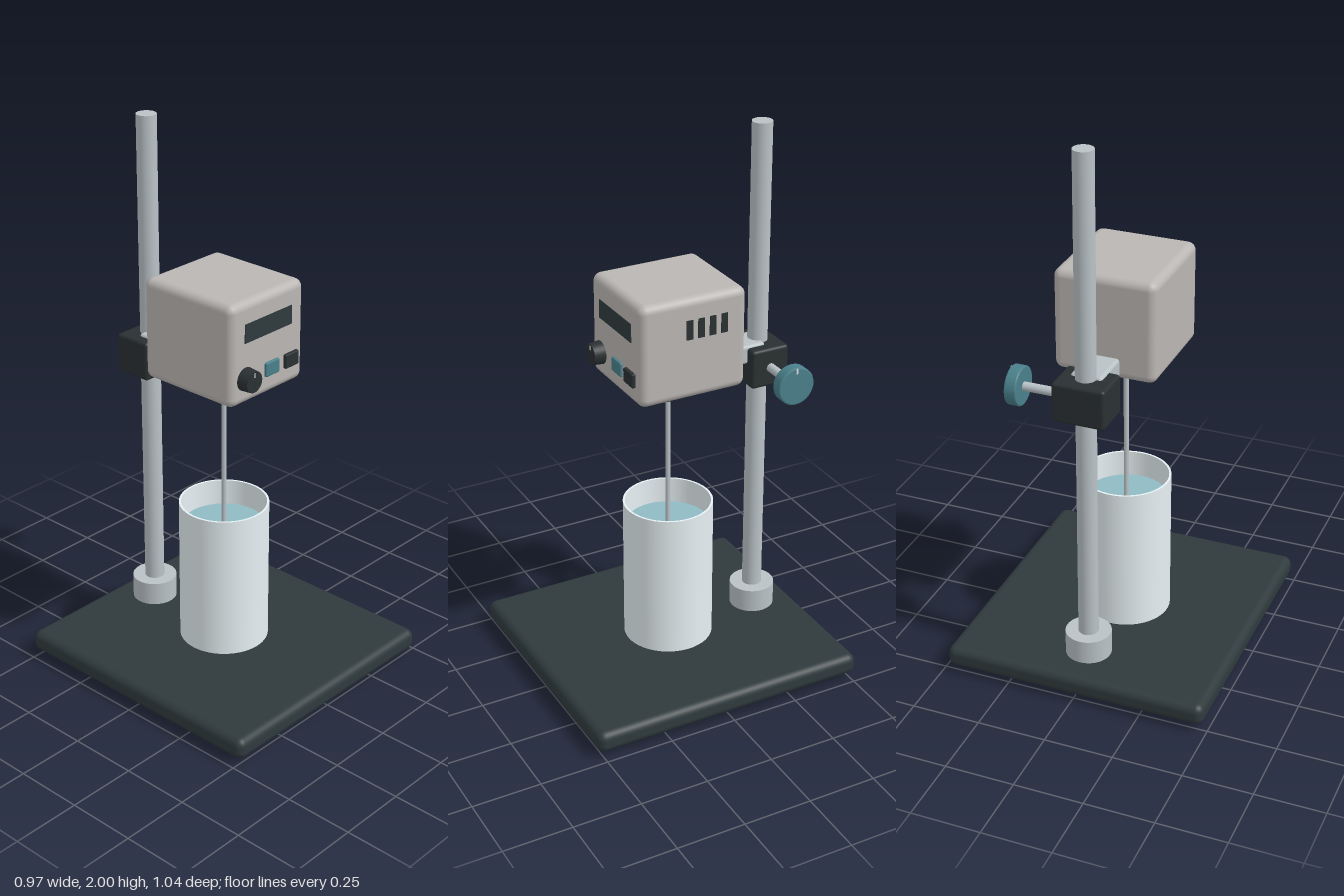
import * as THREE from 'three';
import { RoundedBoxGeometry } from 'three/addons/geometries/RoundedBoxGeometry.js';

const mat = (color, side = THREE.FrontSide) => {
  const m = new THREE.MeshStandardMaterial({ side });
  m.color.set(color);
  return m;
};

export function createModel() {
  const model = new THREE.Group();
  model.name = 'overheadStirrer';
  const dark = mat(0x2f3a3d), black = mat(0x2a3032), shell = mat(0xbab6b3);
  const steel = mat(0xb9c2c6), teal = mat(0x4a808b), light = mat(0xe0e4e6);
  const glass = mat(0xe6f0f3, THREE.DoubleSide), water = mat(0x8fbac4);

  const add = (name, geometry, material, x, y, z) => {
    const mesh = new THREE.Mesh(geometry, material);
    mesh.name = name;
    mesh.position.set(x, y, z);
    model.add(mesh);
    return mesh;
  };
  const box = (name, m, w, h, d, x, y, z, r = 0) =>
    add(name, r ? new RoundedBoxGeometry(w, h, d, 4, r) : new THREE.BoxGeometry(w, h, d), m, x, y, z);
  // upright cylinder from y0 to y1
  const post = (name, m, r, y0, y1, x, z, rBottom = r) =>
    add(name, new THREE.CylinderGeometry(r, rBottom, y1 - y0, 40), m, x, (y0 + y1) / 2, z);

  // base plate and feet
  box('basePlate', dark, 0.97, 0.08, 1.04, 0, 0.06, 0, 0.03);
  for (const x of [-0.355, 0.355])
    for (const z of [-0.375, 0.375]) post('foot', black, 0.048, 0, 0.025, x, z);

  // stand rod with its collar
  const rodZ = -0.357;
  post('standRod', steel, 0.036, 0.09, 2, 0, rodZ);
  post('rodCollar', steel, 0.082, 0.112, 0.2, 0, rodZ);

  // clamp, arm and tightening knob
  box('clampBlock', black, 0.19, 0.145, 0.146, 0, 1.128, rodZ, 0.012);
  box('clampArm', steel, 0.114, 0.07, 0.2, 0, 1.175, -0.257, 0.012);
  const screw = post('clampScrew', steel, 0.016, 0, 0.16, 0, rodZ);
  screw.rotation.z = Math.PI / 2;
  screw.position.set(0.16, 1.128, rodZ);
  const knobProfile = [[0, -0.022], [0.064, -0.022], [0.07, -0.017], [0.07, 0.017], [0.064, 0.022], [0, 0.022]]
    .map(([r, y]) => new THREE.Vector2(r, y));
  const knobGeo = new THREE.ExtrudeGeometry(
    new THREE.Shape().absarc(0, 0, knobProfile[1].x, 0, Math.PI * 2),
    { depth: 0.034, bevelSize: 0.006, bevelThickness: 0.005, bevelSegments: 2, curveSegments: 24 }
  ).translate(0, 0, -0.017).rotateY(Math.PI / 2);
  add('clampKnob', knobGeo, teal, 0.247, 1.128, rodZ);
  box('clampKnobMark', light, 0.003, 0.02, 0.006, 0.269, 1.186, rodZ);

  // motor housing
  box('motorHousing', shell, 0.37, 0.37, 0.405, 0, 1.315, -0.002, 0.03);
  for (let i = 0; i < 4; i++)
    box('ventSlot', black, 0.006, 0.07, 0.024, 0.185, 1.388, 0.017 - i * 0.044);

  // front panel
  box('display', dark, 0.236, 0.068, 0.006, 0, 1.388, 0.2);
  box('startButton', teal, 0.068, 0.052, 0.016, 0.017, 1.225, 0.202, 0.005);
  box('stopButton', black, 0.068, 0.052, 0.016, 0.113, 1.225, 0.206, 0.005);
  const dial = post('speedDial', black, 0.038, 0, 0.045, 0, 0, 0.042);
  dial.rotation.x = Math.PI / 2;
  dial.position.set(-0.113, 1.225, 0.219);
  box('dialMark', light, 0.005, 0.016, 0.003, -0.113, 1.25, 0.242);

  // chuck and stirring shaft
  post('chuck', black, 0.045, 1.07, 1.14, 0, 0);
  post('chuckNose', black, 0.045, 1.055, 1.07, 0, 0, 0.038);
  post('stirShaft', steel, 0.009, 0.2, 1.06, 0, 0);

  // beaker with liquid
  const beaker = [[0, 0.1], [0.162, 0.1], [0.162, 0.1], [0.162, 0.645], [0.162, 0.645],
    [0.154, 0.645], [0.154, 0.645], [0.154, 0.115], [0.154, 0.115], [0, 0.115]];
  add('beaker', new THREE.LatheGeometry(beaker.map(([r, y]) => new THREE.Vector2(r, y)), 64), glass, 0, 0, 0);
  post('liquid', water, 0.152, 0.12, 0.55, 0, 0);
  return model;
}
